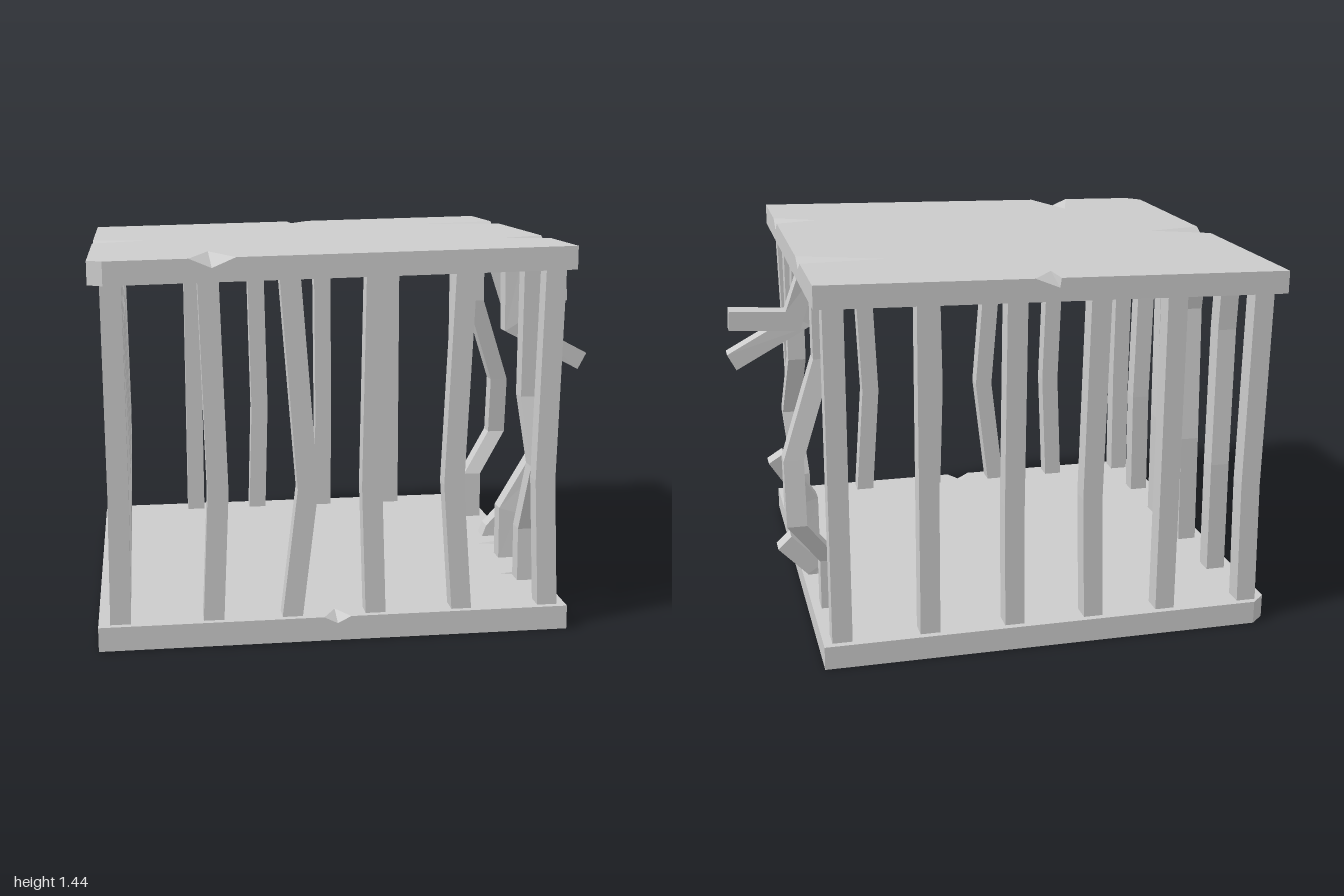
import * as THREE from 'three';

const material = new THREE.MeshStandardMaterial({ color: 0xcccccc, flatShading: true });
const V = (x, y, z) => new THREE.Vector3(x, y, z);

function meshFrom(triangles, name) {
  const geometry = new THREE.BufferGeometry().setFromPoints(triangles);
  geometry.computeVertexNormals();
  const mesh = new THREE.Mesh(geometry, material);
  mesh.name = name;
  return mesh;
}

// Slab from an outline walked counter-clockwise from above. An entry is a corner
// [x, z], or a chip { a, v, b, tip, drop } whose floor dips by drop at v.
function slab(name, outline, bottom, top) {
  const tris = [], rim = [], wall = [];
  const up = ([x, z], drop = 0) => V(x, top(x) - drop, z);
  const down = ([x, z]) => V(x, bottom(x), z);
  for (const o of outline) {
    if (Array.isArray(o)) {
      rim.push(o);
      wall.push([o, 0]);
    } else {
      rim.push(o.a, o.tip, o.b);
      wall.push([o.a, 0], [o.v, o.drop], [o.b, 0]);
      const low = up(o.v, o.drop), tip = up(o.tip);
      tris.push(up(o.a), low, tip, low, up(o.b), tip);
    }
  }
  const fill = (pts) => THREE.ShapeUtils.triangulateShape(pts.map(([x, z]) => new THREE.Vector2(x, -z)), []);
  for (const f of fill(rim)) tris.push(...f.map((i) => up(rim[i])));
  const foot = wall.map((w) => w[0]);
  for (const [a, b, c] of fill(foot)) tris.push(down(foot[a]), down(foot[c]), down(foot[b]));
  wall.forEach(([p, dp], i) => {
    const [q, dq] = wall[(i + 1) % wall.length];
    tris.push(down(p), down(q), up(q, dq), down(p), up(q, dq), up(p, dp));
  });
  return meshFrom(tris, name);
}

// Square bar along a path; level sections for whole bars, mitred ones for snapped stubs
function bar(name, path, mitred = false, size = 0.075) {
  const h = size / 2;
  const pts = path.map((p) => V(...p));
  const rings = pts.map((p, i) => {
    let u = V(1, 0, 0);
    const w = V(0, 0, 1);
    if (mitred) {
      const a = pts[Math.max(i - 1, 0)], b = pts[Math.min(i + 1, pts.length - 1)];
      const before = (i ? p.clone().sub(a) : b.clone().sub(p)).normalize();
      const after = (i < pts.length - 1 ? b.clone().sub(p) : before.clone()).normalize();
      const t = before.clone().add(after).normalize();
      u = V(t.y, -t.x, 0).normalize().multiplyScalar(1 / Math.max(t.dot(after), 0.6));
      if (i === 0) u.set(Math.sign(t.y), 0, 0);
    }
    return [[-1, 1], [1, 1], [1, -1], [-1, -1]].map(([s, k]) =>
      p.clone().addScaledVector(u, s * h).addScaledVector(w, k * h));
  });
  const tris = [];
  const quad = (a, b, c, d) => tris.push(a, b, c, a, c, d);
  // Paths that run downward are flipped so the faces point outward
  const upward = pts[pts.length - 1].y > pts[0].y;
  if (!upward) {
    rings.reverse();
    // Mitred sections turn over with a downward path
    if (mitred) rings.forEach((r) => r.splice(0, 4, r[1], r[0], r[3], r[2]));
  }
  for (let i = 0; i + 1 < rings.length; i++) {
    for (let j = 0; j < 4; j++) {
      const k = (j + 1) % 4;
      quad(rings[i][j], rings[i][k], rings[i + 1][k], rings[i + 1][j]);
    }
  }
  quad(...[...rings[0]].reverse());
  quad(...rings[rings.length - 1]);
  return meshFrom(tris, name);
}

export function createModel() {
  const model = new THREE.Group();
  const L = -1, R = 0.74, F = 0.83, B = -0.83;
  const ceiling = (x) => 1.32 + 0.02 * (x + 1);

  // Floor slab with a clipped back corner and small chips
  model.add(slab('floor', [
    [L, F],
    { a: [-0.18, F], v: [-0.13, F], b: [-0.08, F], tip: [-0.13, 0.74], drop: 0.025 },
    [R, F],
    { a: [R, 0.455], v: [R, 0.42], b: [R, 0.385], tip: [0.58, 0.42], drop: 0.045 },
    { a: [R, 0.045], v: [R, 0], b: [R, -0.04], tip: [0.6, 0], drop: 0.025 },
    [R, B], [-0.945, B], [L, -0.78],
  ], () => 0, () => 0.09));

  // Slightly tilted roof slab with a clipped front corner and larger chips
  model.add(slab('roof', [
    [L, 0.78], [-0.945, F],
    { a: [-0.65, F], v: [-0.57, F], b: [-0.485, F], tip: [-0.57, 0.57], drop: 0.035 },
    [R, F],
    { a: [R, 0.48], v: [R, 0.415], b: [R, 0.35], tip: [0.57, 0.415], drop: 0.04 },
    { a: [R, -0.33], v: [R, -0.4], b: [R, -0.465], tip: [0.42, -0.42], drop: 0.035 },
    [R, B],
    { a: [-0.04, B], v: [-0.13, B], b: [-0.135, B], tip: [-0.13, -0.71], drop: 0.035 },
    [L, B],
    { a: [L, -0.08], v: [L, 0], b: [L, 0.07], tip: [-0.77, 0], drop: 0.035 },
  ], ceiling, (x) => ceiling(x) + 0.085));

  // Front and back rows: [x, sideways bend in front, sideways bend at back]
  const rows = [[-0.92, 0.005, 0.01], [-0.583, 0.023, 0], [-0.295, 0.06, 0.015],
    [0.015, -0.015, 0.005], [0.34, -0.035, 0], [0.67, -0.02, 0]];
  for (const [x, front, back] of rows) {
    for (const [name, z, bend] of [['frontBar', 0.767, front], ['backBar', -0.767, back]]) {
      model.add(bar(name, [[x, 0.08, z], [x + bend, 0.57, z], [x, ceiling(x) + 0.01, z]]));
    }
  }

  // Left row, gently warped: [z at floor, lower bend, upper bend, roof]
  const xl = -0.92;
  for (const [z0, z1, z2, z3] of [[0.475, 0.46, 0.468, 0.475], [0.17, 0.145, 0.19, 0.18],
    [-0.14, -0.148, -0.09, -0.13], [-0.46, -0.475, -0.445, -0.46]]) {
    model.add(bar('leftBar', [[xl, 0.08, z0], [xl + 0.012, 0.55, z1], [xl, 1.1, z2], [xl, 1.33, z3]]));
  }

  // Right row: two buckled bars
  model.add(bar('buckledBar', [[0.67, 0.08, 0.475], [0.67, 0.3, 0.47], [0.695, 0.57, 0.545],
    [0.67, 0.83, 0.465], [0.67, 1.36, 0.475]]));
  model.add(bar('buckledBar', [[0.67, 0.08, -0.465], [0.67, 0.29, -0.47], [0.797, 0.47, -0.543],
    [0.797, 0.72, -0.513], [0.67, 1.09, -0.465], [0.67, 1.36, -0.465]]));

  // Right row: two bars snapped in the middle and bent outward
  const stubs = [
    ['snappedBarTop', [[0.67, 1.36, 0.18], [0.672, 1.07, 0.195], [0.965, 0.915, 0.177]]],
    ['snappedBarBottom', [[0.67, 0.08, 0.175], [0.672, 0.29, 0.165], [0.805, 0.5, 0.14]]],
    ['snappedBarTop', [[0.67, 1.36, -0.135], [0.74, 1.15, -0.12], [0.985, 1.165, -0.123]]],
    ['snappedBarBottom', [[0.67, 0.07, -0.14], [0.69, 0.115, -0.143], [0.81, 0.24, -0.147]]],
  ];
  for (const [name, path] of stubs) model.add(bar(name, path, true));
  return model;
}
